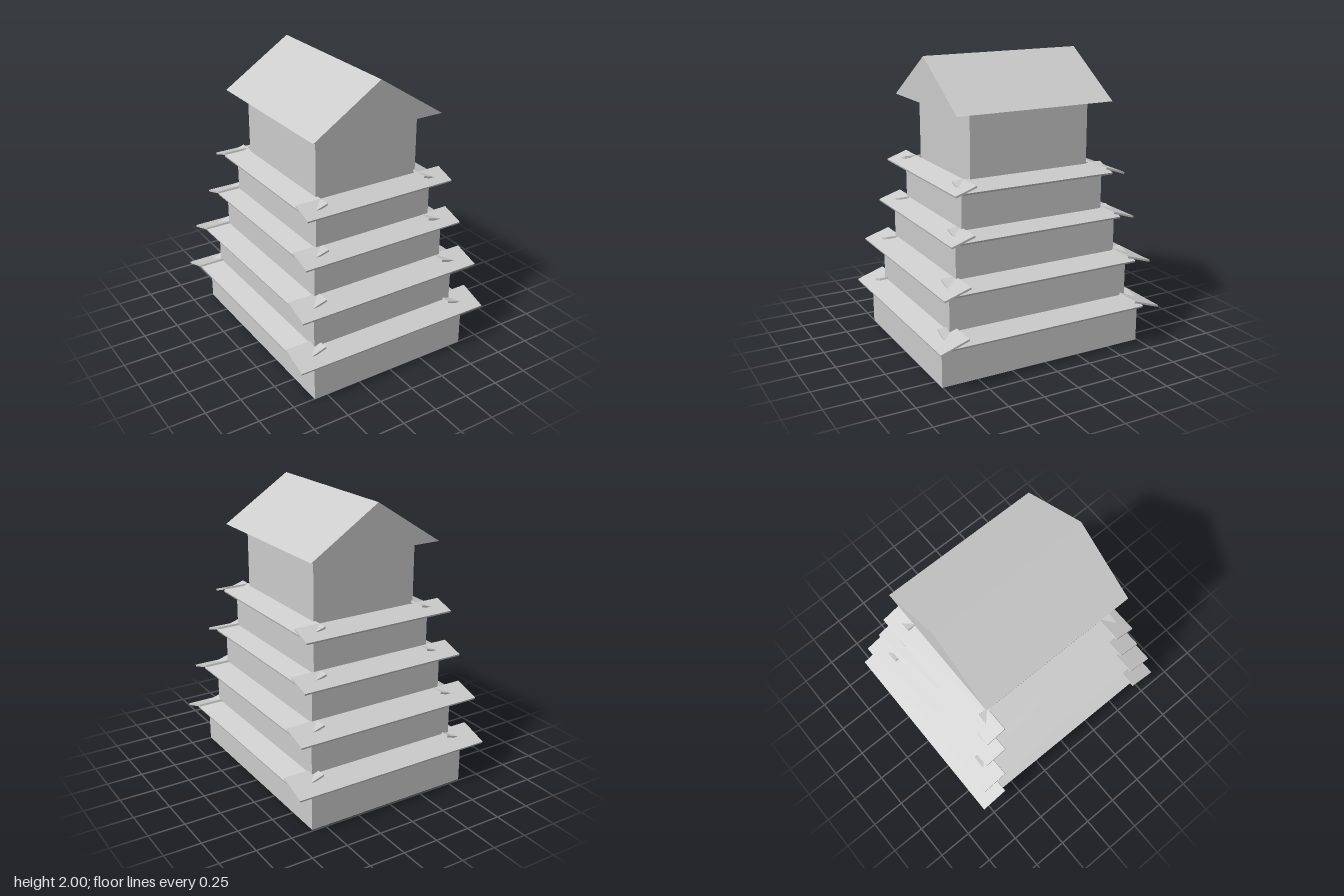
import * as THREE from 'three';

const material = new THREE.MeshStandardMaterial({ color: 0xcccccc, flatShading: true });

// Half width, half depth and top height of each storey, bottom to top
const storeys = [
  [0.595, 0.747, 0.30],
  [0.547, 0.667, 0.625],
  [0.498, 0.595, 0.925],
  [0.44, 0.522, 1.225],
  [0.385, 0.432, 1.69],
];

// Each skirt: y = [low, high]; front and side = [inner edge, outer edge, half length]
const skirts = [
  { y: [0.28, 0.36], front: [0.62, 0.82, 0.727], side: [0.492, 0.69, 0.727] },
  { y: [0.603, 0.675], front: [0.582, 0.767, 0.681], side: [0.456, 0.645, 0.68] },
  { y: [0.907, 0.972], front: [0.513, 0.677, 0.601], side: [0.39, 0.57, 0.597] },
  { y: [1.207, 1.27], front: [0.475, 0.623, 0.553], side: [0.37, 0.525, 0.553] },
];

const SLAB = 0.013; // thickness of the skirt boards
const SHIFT = 0.007; // storeys and roof sit slightly forward

// Thin board sloping down towards +z, turned to face its side of the tower
function eave(name, [low, high], [inner, outer, half], turn) {
  const run = outer - inner;
  const tilt = Math.atan2(high - low - SLAB, run);
  const length = (run - SLAB * Math.sin(tilt)) / Math.cos(tilt);
  const board = new THREE.Mesh(new THREE.BoxGeometry(half * 2, SLAB, length), material);
  board.position.set(0, (low + high) / 2, (inner + outer) / 2);
  board.rotation.x = tilt;
  const side = new THREE.Group();
  side.name = name;
  side.rotation.y = turn;
  side.add(board);
  return side;
}

export function createModel() {
  const tower = new THREE.Group();
  tower.name = 'tieredTower';

  // Stacked storeys
  let base = 0;
  storeys.forEach(([hx, hz, top], i) => {
    const storey = new THREE.Mesh(new THREE.BoxGeometry(hx * 2, top - base, hz * 2), material);
    storey.name = `storey${i + 1}`;
    storey.position.set(0, (base + top) / 2, SHIFT);
    tower.add(storey);
    base = top;
  });

  // Four sloping eaves between the storeys
  skirts.forEach(({ y, front, side }, i) => {
    const skirt = new THREE.Group();
    skirt.name = `skirtRoof${i + 1}`;
    const left = eave('leftEave', y, side, Math.PI / 2);
    const right = eave('rightEave', y, side, -Math.PI / 2);
    left.position.z = right.position.z = SHIFT;
    skirt.add(eave('frontEave', y, front, 0), eave('backEave', y, front, Math.PI), left, right);
    tower.add(skirt);
  });

  // Solid gable roof with its ridge running front to back
  const gable = new THREE.Shape([
    new THREE.Vector2(-0.48, 1.69),
    new THREE.Vector2(0.48, 1.69),
    new THREE.Vector2(0, 2),
  ]);
  const depth = 1.13;
  const roof = new THREE.Mesh(new THREE.ExtrudeGeometry(gable, { depth, bevelEnabled: false }), material);
  roof.name = 'gableRoof';
  roof.position.z = SHIFT - depth / 2;
  tower.add(roof);

  return tower;
}
